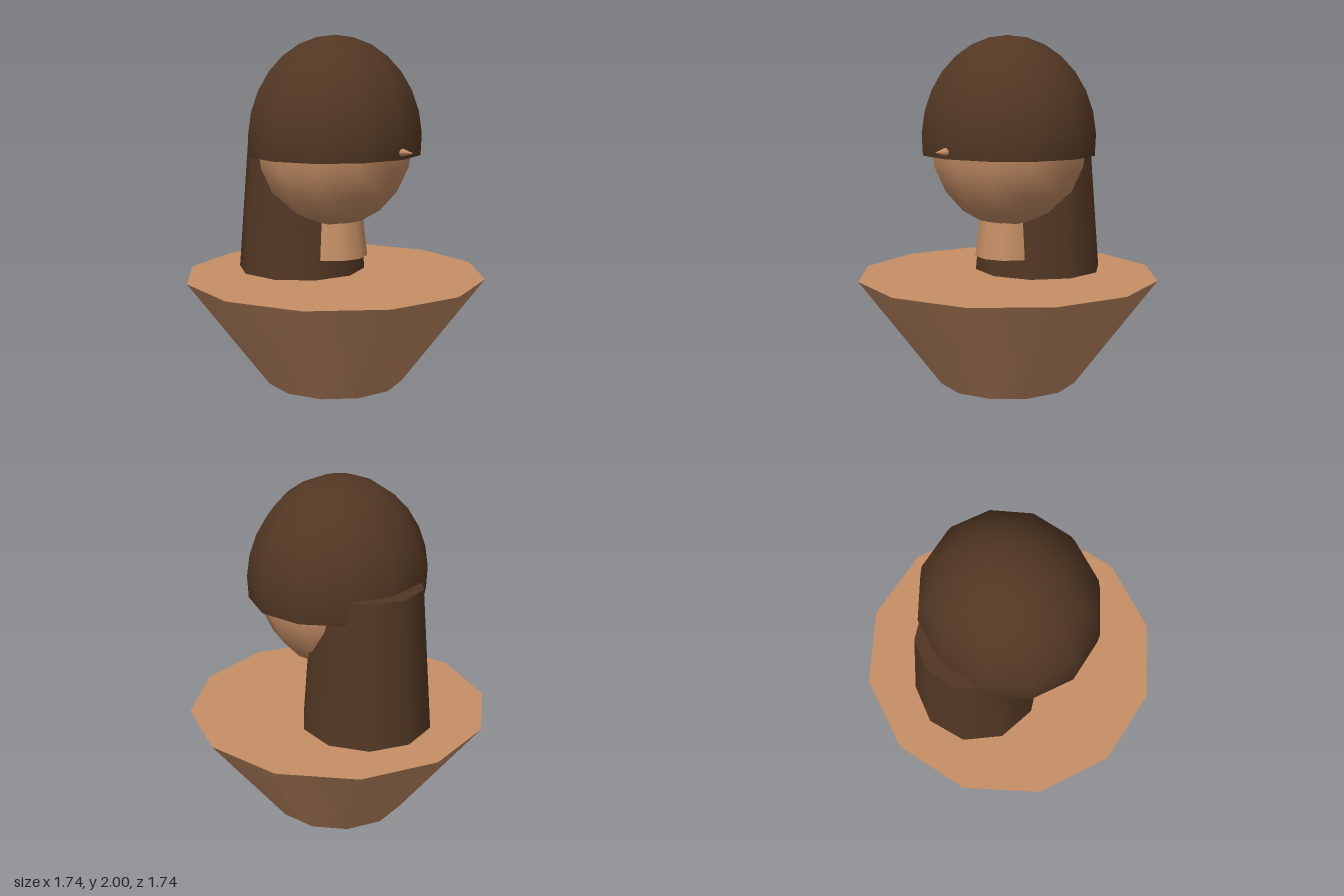
import * as THREE from 'three';

export function createModel() {
  const model = new THREE.Group();
  model.name = 'bust';

  const skin = new THREE.MeshStandardMaterial({ color: 0xc68f66 });
  skin.name = 'skin';
  const hair = new THREE.MeshStandardMaterial({ color: 0x523723, side: THREE.DoubleSide });
  hair.name = 'dark brown hair';

  function add(name, geometry, material, x, y, z) {
    const mesh = new THREE.Mesh(geometry, material);
    mesh.name = name;
    mesh.position.set(x, y, z);
    model.add(mesh);
    return mesh;
  }

  // Upright tapered column between two heights
  function column(name, rTop, rBottom, yBottom, yTop, sides, material, z = 0) {
    const geometry = new THREE.CylinderGeometry(rTop, rBottom, yTop - yBottom, sides);
    return add(name, geometry, material, 0, (yBottom + yTop) / 2, z);
  }

  // Shoulders flare upward, the neck sits inside the long hair
  column('shoulders', 0.87, 0.4, 0, 0.63, 12, skin);
  column('neck', 0.16, 0.19, 0.74, 1.0, 10, skin);
  column('longHair', 0.31, 0.375, 0.63, 1.46, 10, hair, -0.26);

  // Head, slightly tall and narrow from front to back
  const head = new THREE.SphereGeometry(1, 12, 10);
  head.scale(0.47, 0.51, 0.44);
  add('head', head, skin, 0, 1.42, 0);

  // Hair cap, open underneath, ending just below its widest ring
  const cap = new THREE.SphereGeometry(1, 12, 8, 0, Math.PI * 2, 0, Math.PI * 0.55);
  cap.scale(0.52, 0.58, 0.49);
  add('hairCap', cap, hair, 0, 1.42, 0);

  // Nose, its tip poking out through the hair
  const nose = new THREE.ConeGeometry(0.042, 0.14, 8);
  nose.rotateX(Math.PI / 2);
  add('nose', nose, skin, 0, 1.37, 0.49);

  return model;
}
